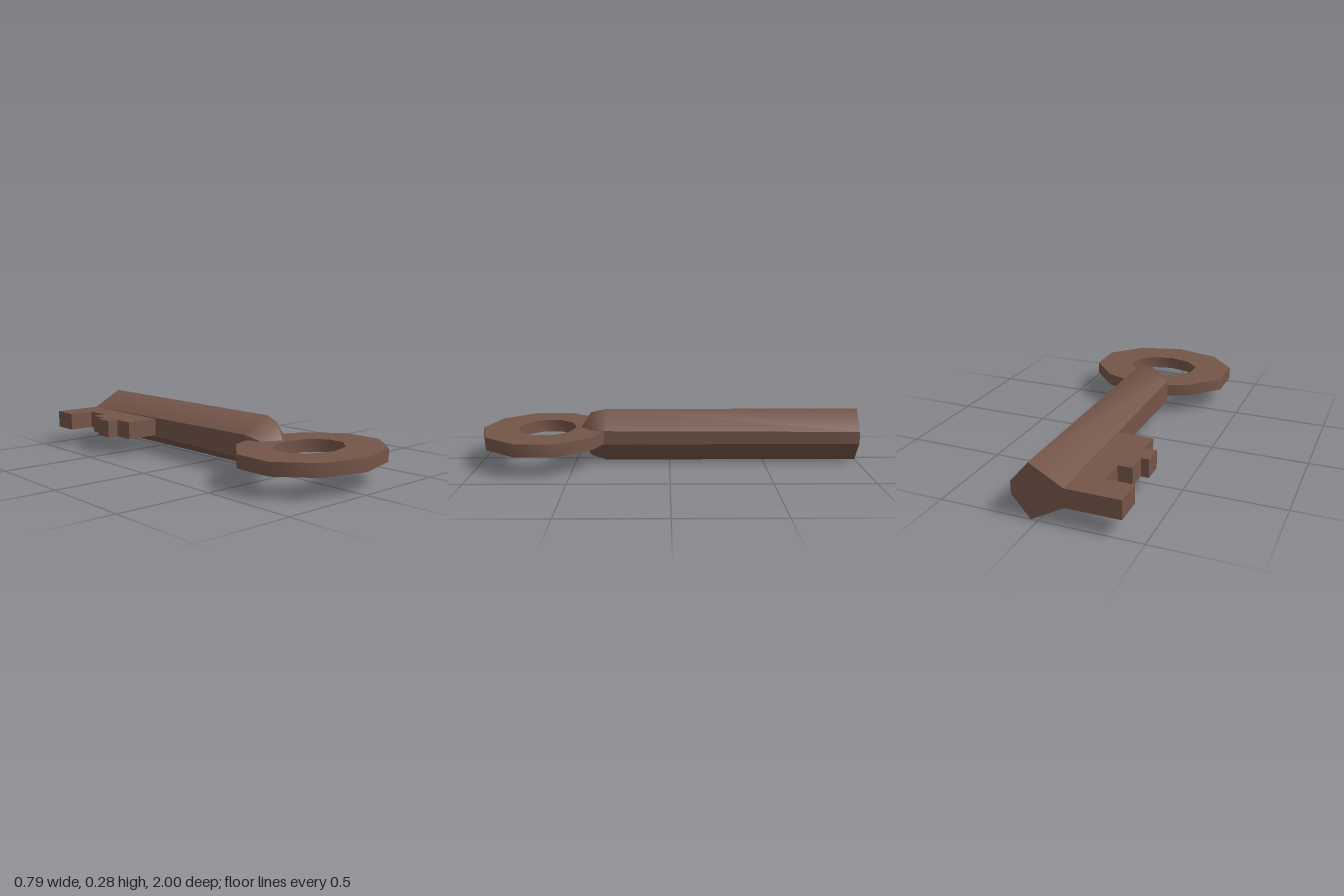
import * as THREE from 'three';
import { toCreasedNormals } from 'three/addons/utils/BufferGeometryUtils.js';

const MID = 0.14; // height of the key's plane of symmetry

// Smooth strip through matching points of successive cross-sections
function loft(sections) {
  const n = sections[0].length, index = [];
  for (let s = 0; s < sections.length - 1; s++) {
    for (let i = 0; i < n - 1; i++) {
      const a = s * n + i, b = a + 1, c = a + n, d = c + 1;
      index.push(a, c, b, b, c, d);
    }
  }
  const g = new THREE.BufferGeometry();
  g.setAttribute('position', new THREE.Float32BufferAttribute(sections.flat(2), 3));
  g.setIndex(index);
  g.computeVertexNormals();
  return g;
}

// Flat plate cut from an x-z outline, centred on the middle plane
function plate(shape, thickness) {
  const g = new THREE.ExtrudeGeometry(shape, { depth: thickness, bevelEnabled: false });
  g.rotateX(Math.PI / 2);
  g.translate(0, MID + thickness / 2, 0);
  return toCreasedNormals(g, 0.9);
}

function decagon(cx, cz, rx, rz) {
  return Array.from({ length: 10 }, (_, i) => {
    const a = (i * Math.PI) / 5;
    return new THREE.Vector2(cx + rx * Math.sin(a), cz + rz * Math.cos(a));
  });
}

export function createModel() {
  const key = new THREE.Group();
  key.name = 'key';
  const brown = new THREE.MeshStandardMaterial({ color: 0x745549 });
  brown.name = 'brown';
  const add = (name, geometry, parent = key) => {
    const m = new THREE.Mesh(geometry, brown);
    m.name = name;
    parent.add(m);
  };

  // Bow: ten-sided ring, its rear corner drawn back into the shaft;
  // the hole runs opposite to the rim so its walls face inwards
  const rim = decagon(0.006, 0.665, 0.41, 0.335);
  rim[5].y = 0.305;
  const ring = new THREE.Shape(rim);
  ring.holes.push(new THREE.Path(decagon(0.005, 0.655, 0.2, 0.155).reverse()));
  add('bow', plate(ring, 0.066));

  // Bit: stepped teeth
  const teeth = [
    [-0.125, -1], [-0.396, -1], [-0.396, -0.855], [-0.26, -0.855], [-0.26, -0.717], [-0.33, -0.717],
    [-0.33, -0.61], [-0.37, -0.61], [-0.37, -0.505], [-0.31, -0.505], [-0.31, -0.39], [-0.125, -0.39],
  ].map(([x, z]) => new THREE.Vector2(x, z));
  add('bit', plate(new THREE.Shape(teeth), 0.094));

  // Shaft: upper half profiles [x, height above middle] from right edge over the ridge
  const profiles = [
    { z: -1, p: [[-0.13, 0.047], [-0.11, 0.058], [0.035, 0.139], [0.127, 0.032]] },
    { z: 0.34, p: [[-0.13, 0.06], [-0.11, 0.073], [0.035, 0.139], [0.118, 0.036]] },
    { z: 0.42, p: [[-0.1, 0.036], [-0.085, 0.047], [0.02, 0.118], [0.08, 0.033]] },
    { z: 0.497, p: [[0, 0], [0, 0], [0, 0], [0, 0]] },
  ];
  const upper = profiles.map(({ z, p }) => p.map(([x, h]) => [x, MID + h, z]));
  const lower = profiles.map(({ z, p }) => p.map(([x, h]) => [x, MID - h, z]).reverse());
  const shaft = new THREE.Group();
  shaft.name = 'shaft';
  key.add(shaft);
  add('shaftTop', loft(upper), shaft);
  add('shaftBottom', loft(lower), shaft);
  add('shaftLeftWall', loft(upper.map((s, i) => [s[3], lower[i][0]])), shaft);
  add('shaftRightWall', loft(lower.map((s, i) => [s[3], upper[i][0]])), shaft);

  // Flat end of the shaft, facing back
  const end = new THREE.Shape([...upper[0], ...lower[0]].map(([x, y]) => new THREE.Vector2(-x, y)));
  const cap = new THREE.ShapeGeometry(end);
  cap.rotateY(Math.PI);
  cap.translate(0, 0, -1);
  add('shaftEnd', cap, shaft);

  return key;
}
